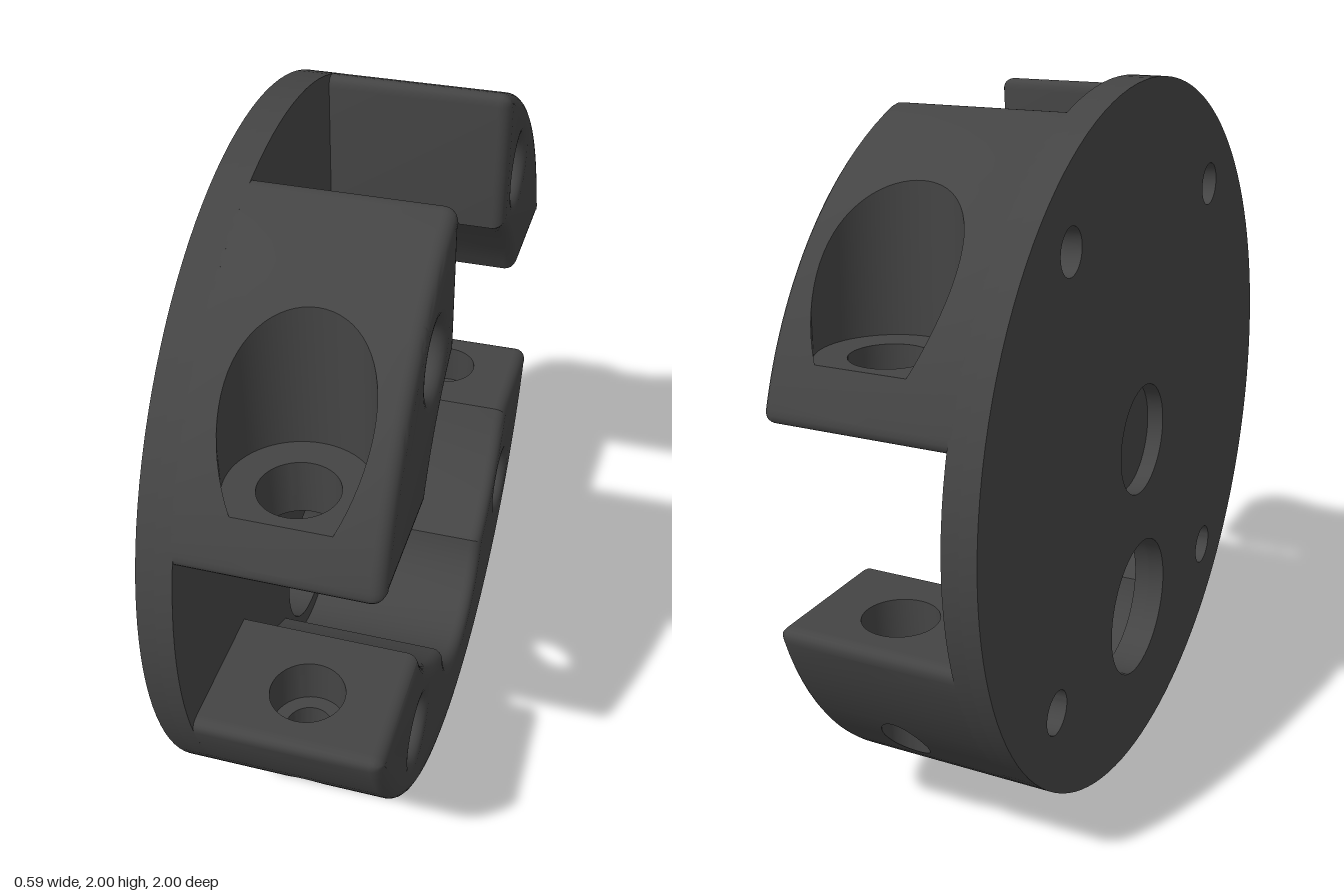
import * as THREE from 'three';
import { toCreasedNormals } from 'three/addons/utils/BufferGeometryUtils.js';

// Built in the plane of the disc (a = across, b = up, s = along its axis), then turned so s becomes +x.
const BACK = -0.297, PLATE = -0.205, TOP = 0.297, BEVEL = 0.035;
const S0 = -0.21, S1 = TOP - BEVEL;            // straight part of the block walls
const FLAT = 0.27, INNER = 0.63, ROUND = 0.04; // block face height, inner radius, corner rounding
const CA = 0.775, CS = 0.045, BORE = 0.1;      // axis and radius of the cross bolts
const V = (x, y) => new THREE.Vector2(x, y);
const onCircle = (t, r = 1, cy = 0) => V(r * Math.cos(t), cy + r * Math.sin(t));
const mat = new THREE.MeshStandardMaterial({ color: 0x444444, side: THREE.DoubleSide });

function range(a, b, n, f) {
  return Array.from({ length: n + 1 }, (_, i) => f(a + (b - a) * i / n));
}
function circle(x, y, r, n = 40) {
  return new THREE.Path(range(0, Math.PI * 2, n, t => V(x + r * Math.cos(t), y + r * Math.sin(t))).slice(0, -1));
}
function corner(p, c, q) {
  return new THREE.QuadraticBezierCurve(p, c, q).getPoints(5);
}
function quad(out, p, q, r, s) {
  out.push(...p, ...q, ...r, ...p, ...r, ...s);
}

// Flat face at height b with holes, facing -b (or +b when up)
function face(out, pts, hole, b, up = false) {
  const shape = new THREE.Shape(pts);
  shape.holes.push(hole);
  const p = new THREE.ShapeGeometry(shape).toNonIndexed().attributes.position;
  for (let i = 0; i < p.count; i += 3)
    for (const k of up ? [0, 2, 1] : [0, 1, 2]) out.push(p.getX(i + k), b, p.getY(i + k));
}

// Inside wall of a bore parallel to b, from b0 up to top(a)
function bore(out, r, b0, top, phi0 = 0) {
  const ring = range(phi0, Math.PI * 2 - phi0, 48, f => [CA + r * Math.cos(f), CS + r * Math.sin(f)]);
  for (let i = 0; i < 48; i++) {
    const [[a, s], [c, u]] = [ring[i], ring[i + 1]];
    quad(out, [a, b0, s], [c, b0, u], [c, top(c), u], [a, top(a), s]);
  }
}

// One half of a block's pierced walls: outer arc, flat face, stepped cross bore
function piercing(arc, r, step, phi0) {
  const out = [];
  const P = (t, s) => [Math.cos(t), Math.sin(t), s];
  for (let i = 0; i + 1 < arc.length; i++) {
    const [p, q] = [arc[i], arc[i + 1]];
    if (q.t - p.t < 1e-7) continue;
    quad(out, P(p.t, S0), P(q.t, S0), P(q.t, CS - q.h), P(p.t, CS - p.h));
    quad(out, P(p.t, CS + p.h), P(q.t, CS + q.h), P(q.t, S1), P(p.t, S1));
  }
  const a0 = Math.sqrt(INNER ** 2 - FLAT ** 2), a1 = Math.sqrt(1 - FLAT ** 2) - ROUND;
  face(out, [V(a0, S0), V(a1, S0), V(a1, S1), V(a0, S1)], circle(CA, CS, BORE, 48), FLAT);
  bore(out, BORE, FLAT, () => step);
  bore(out, r, step, a => Math.sqrt(1 - a * a), phi0);
  if (r > BORE) {
    const seat = range(phi0, Math.PI * 2 - phi0, 48, f => V(CA + r * Math.cos(f), CS + r * Math.sin(f)));
    face(out, seat, circle(CA, CS, BORE, 48), step, true);
  } else {
    face(out, circle(CA, CS, BORE, 48).getPoints(), circle(CA, CS, r, 48), step);
  }
  return out;
}

// Angles along the outer arc, each with the half-width h of the bore opening there
function outerArc(t1, r, phi0) {
  const t0 = Math.asin(FLAT) + ROUND;
  const hole = range(phi0, Math.PI, 24, f => ({ t: Math.acos(CA + r * Math.cos(f)), h: r * Math.sin(f) }));
  const tA = hole[0].t, tB = hole[24].t;
  const plain = t => ({ t, h: 0 });
  return [...range(t0, tA, 5, plain), ...hole, ...range(tB, t1, Math.ceil((t1 - tB) / 0.05), plain)];
}

function arcPoints(arc) {
  return arc.filter((e, i) => !i || e.t - arc[i - 1].t > 1e-6).map(e => onCircle(e.t));
}

function mirrored(tris) {
  const out = [];
  for (let i = 0; i < tris.length; i += 9)
    for (const k of [0, 6, 3]) out.push(-tris[i + k], tris[i + k + 1], tris[i + k + 2]);
  return out;
}

// Bevelled extrusion without its plain outer and flat walls, as triangles
function blockShell(pts, screws) {
  const shape = new THREE.Shape(pts);
  for (const [x, y] of screws) shape.holes.push(circle(x, y, 0.09));
  let g = new THREE.ExtrudeGeometry(shape, {
    depth: S1 - S0, bevelThickness: BEVEL, bevelSize: BEVEL, bevelOffset: -BEVEL, bevelSegments: 5,
  });
  g.translate(0, 0, S0);
  if (g.index) g = g.toNonIndexed();
  const p = g.attributes.position.array, out = [];
  for (let i = 0; i < p.length; i += 9) {
    const ks = [i, i + 3, i + 6];
    const outer = ks.every(k => Math.hypot(p[k], p[k + 1]) > 0.99999);
    const flat = ks.every(k => Math.abs(p[k + 1] - FLAT) < 1e-5);
    if (!outer && !flat) out.push(...p.subarray(i, i + 9));
  }
  return out;
}

function toMesh(tris, name) {
  const g = new THREE.BufferGeometry();
  g.setAttribute('position', new THREE.Float32BufferAttribute(tris, 3));
  const mesh = new THREE.Mesh(toCreasedNormals(g, 0.55), mat);
  mesh.name = name;
  return mesh;
}

// Rounded corner where the flat face meets the outer arc
function footCorner() {
  const t = Math.asin(FLAT), a = Math.cos(t);
  return corner(V(a - ROUND, FLAT), V(a, FLAT), onCircle(t + ROUND)).slice(0, -1);
}

export function createModel() {
  const model = new THREE.Group();
  model.name = 'clampHousing';
  const body = new THREE.Group();
  body.name = 'body';
  body.rotation.y = Math.PI / 2;
  body.position.y = 1;
  model.add(body);

  // Round base plate in two layers; the rear one has the blind centre recess
  const plateLayer = (from, to, recess, name) => {
    const shape = new THREE.Shape(circle(0, 0, 1, 120).getPoints());
    shape.holes.push(circle(0, -0.53, 0.205, 56));
    for (const m of [-1, 1])
      shape.holes.push(circle(m * 0.5, 0.645, 0.062), circle(m * 0.575, -0.57, 0.062));
    if (recess) shape.holes.push(circle(0, 0, 0.16, 48));
    const g = new THREE.ExtrudeGeometry(shape, { depth: to - from, bevelEnabled: false });
    g.translate(0, 0, from);
    const mesh = new THREE.Mesh(toCreasedNormals(g, 0.55), mat);
    mesh.name = name;
    body.add(mesh);
  };
  plateLayer(BACK, -0.25, true, 'rearPlate');
  plateLayer(-0.25, PLATE, false, 'frontPlate');

  const innerEnd = Math.asin(FLAT / INNER);

  // Two upper blocks, each with a round seat for the bolt head
  const seatR = 0.18, seatB = 0.42;
  const phi0 = Math.acos((Math.sqrt(1 - seatB ** 2) - CA) / seatR);
  const tTop = Math.acos(0.3);
  const upperArc = outerArc(tTop - ROUND, seatR, phi0);
  const upperPts = [
    ...range(Math.acos(0.3 / INNER), innerEnd, 10, t => onCircle(t, INNER)).slice(0, -1),
    ...footCorner(),
    ...arcPoints(upperArc),
    ...corner(onCircle(tTop - ROUND), onCircle(tTop), V(0.3, Math.sin(tTop) - ROUND)).slice(1),
  ];
  // keep the inner end of the flat face as its own corner
  upperPts.splice(10, 0, onCircle(innerEnd, INNER));
  const upper = [...blockShell(upperPts, [[0.5, 0.645]]), ...piercing(upperArc, seatR, seatB, phi0)];
  body.add(toMesh(upper, 'upperRightBlock'), toMesh(mirrored(upper), 'upperLeftBlock'));

  // Lower C-shaped block, made upright and turned over, with a pocket round the large hole
  const lowerArc = outerArc(Math.PI / 2, 0.062, 0);
  const notch = onCircle(0.19, 0.255, 0.53);
  const half = [
    ...range(Math.PI / 2, 0.19, 14, t => onCircle(t, 0.255, 0.53)),
    ...range(Math.atan2(notch.y, notch.x), innerEnd, 14, t => onCircle(t, INNER)).slice(1),
    ...footCorner(),
    ...arcPoints(lowerArc),
  ];
  const lowerPts = [...half, ...half.slice(1, -1).reverse().map(p => V(-p.x, p.y))];
  const cuts = piercing(lowerArc, 0.062, 0.4, 0);
  const lower = toMesh(
    [...blockShell(lowerPts, [[0.575, 0.57], [-0.575, 0.57]]), ...cuts, ...mirrored(cuts)], 'lowerBlock');
  lower.rotation.z = Math.PI;
  body.add(lower);
  return model;
}
